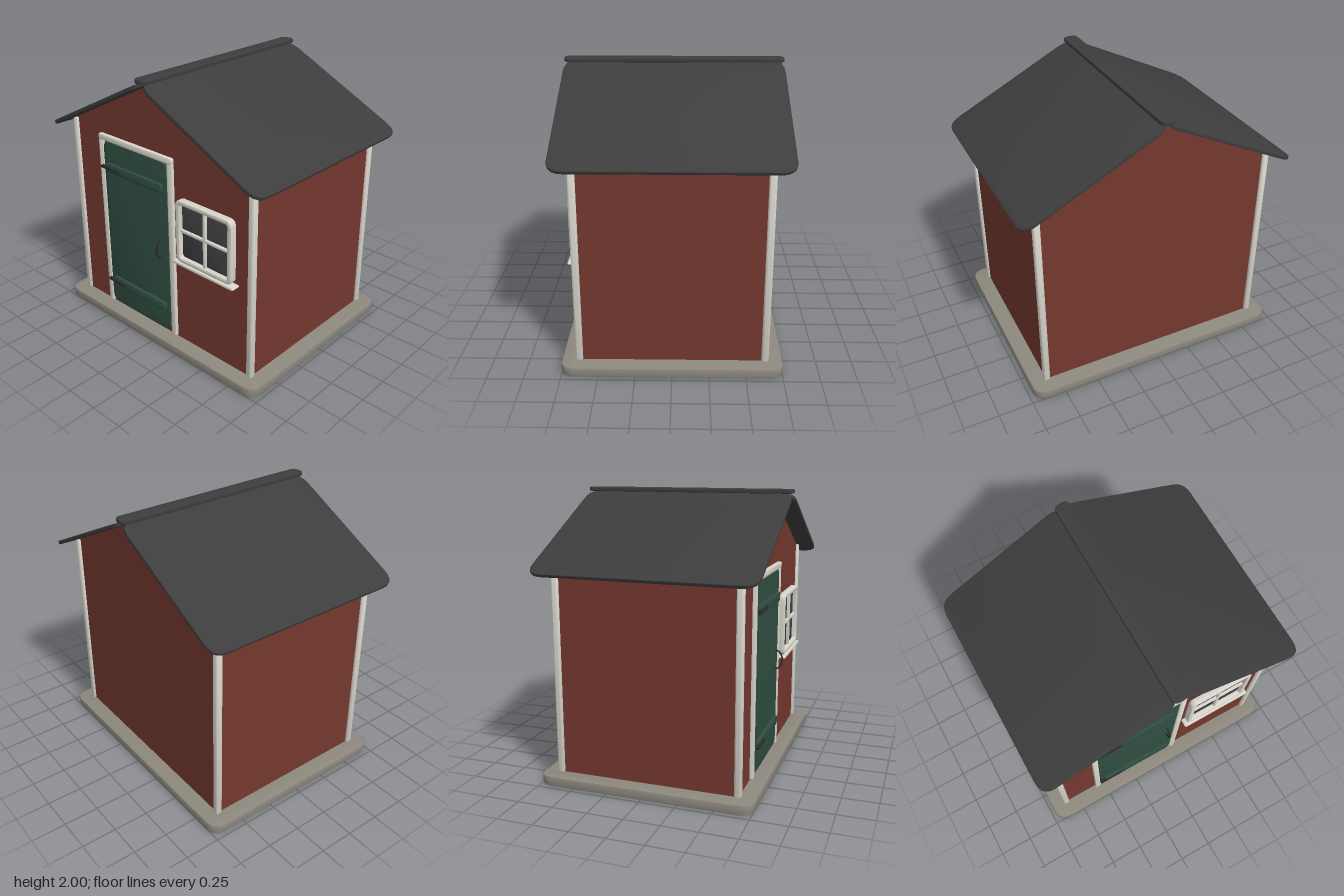
import * as THREE from 'three';
import { toCreasedNormals } from 'three/addons/utils/BufferGeometryUtils.js';

const mat = (name, color) => {
  const m = new THREE.MeshStandardMaterial({ color });
  m.name = name;
  return m;
};

// Rounded rectangle outline, centred on the origin
function roundRect(target, w, h, r) {
  const x = w / 2, y = h / 2;
  target.moveTo(-x + r, -y);
  target.lineTo(x - r, -y);
  target.quadraticCurveTo(x, -y, x, -y + r);
  target.lineTo(x, y - r);
  target.quadraticCurveTo(x, y, x - r, y);
  target.lineTo(-x + r, y);
  target.quadraticCurveTo(-x, y, -x, y - r);
  target.lineTo(-x, -y + r);
  target.quadraticCurveTo(-x, -y, -x + r, -y);
  return target;
}

// Board with rounded corners and softened edges; depth runs along z
function board(w, h, d, r, hole) {
  const b = Math.min(0.008, d * 0.3);
  const shape = roundRect(new THREE.Shape(), w - 2 * b, h - 2 * b, r);
  if (hole) shape.holes.push(roundRect(new THREE.Path(), hole[0] + 2 * b, hole[1] + 2 * b, hole[2]));
  const g = new THREE.ExtrudeGeometry(shape, {
    depth: d - 2 * b, bevelEnabled: true, bevelSize: b, bevelThickness: b, bevelSegments: 2, curveSegments: 5,
  });
  g.translate(0, 0, -d / 2 + b);
  return toCreasedNormals(g, 0.6);
}

export function createModel() {
  const model = new THREE.Group();
  model.name = 'gardenShed';

  const red = mat('barn red', 0x74382f);
  const white = mat('off-white trim', 0xd8d6cc);
  const green = mat('door green', 0x2f4d40);
  const roofing = mat('roofing felt', 0x3d3d3d);
  const stone = mat('stone grey', 0x8c887d);
  const iron = mat('dark iron', 0x2a2a2a);
  const glass = mat('dark glass', 0x404042);

  const add = (name, geometry, material, x = 0, y = 0, z = 0, parent = model) => {
    const mesh = new THREE.Mesh(geometry, material);
    mesh.name = name;
    mesh.position.set(x, y, z);
    parent.add(mesh);
    return mesh;
  };
  // Board placed by its x, y and z extents
  const addBoard = (name, material, x0, x1, y0, y1, z0, z1, r, parent) =>
    add(name, board(x1 - x0, y1 - y0, z1 - z0, r), material,
      (x0 + x1) / 2, (y0 + y1) / 2, (z0 + z1) / 2, parent);

  // Foundation slab
  const base = add('foundation', board(1.94, 1.51, 0.07, 0.09), stone, 0, 0.035, 0);
  base.rotation.x = -Math.PI / 2;

  // Walls with gables
  const gable = new THREE.Shape();
  gable.moveTo(-0.855, 0.06);
  gable.lineTo(0.855, 0.06);
  gable.lineTo(0.855, 1.52);
  gable.lineTo(0, 1.947);
  gable.lineTo(-0.855, 1.52);
  const walls = new THREE.ExtrudeGeometry(gable, { depth: 1.28, bevelEnabled: false });
  walls.translate(0, 0, -0.64);
  add('walls', walls, red);

  // Corner posts
  for (const sx of [-1, 1]) for (const sz of [-1, 1]) {
    const post = add('cornerPost', board(0.048, 0.05, 1.45, 0.008), white, sx * 0.85, 0.795, sz * 0.635);
    post.rotation.x = -Math.PI / 2;
  }

  // Roof panels
  const slope = Math.atan(0.5);
  const panel = board(1.108, 1.55, 0.028, 0.1);
  panel.rotateX(-Math.PI / 2);
  for (const s of [-1, 1]) {
    const roof = add('roofPanel', panel, roofing, s * 0.4955, 1.96 - 0.24775, 0);
    roof.rotation.z = -s * slope;
  }

  // Ridge cap
  const cap = add('ridgeCap', board(0.11, 1.55, 0.03, 0.04), roofing, 0, 1.98, 0);
  cap.rotation.x = -Math.PI / 2;

  // Door with casing, battens, straps and handle
  const door = new THREE.Group();
  door.name = 'door';
  model.add(door);
  addBoard('doorLeaf', green, -0.535, 0.115, 0.088, 1.43, 0.62, 0.661, 0.06, door);
  addBoard('doorCasingRight', white, -0.58, -0.537, 0.07, 1.435, 0.62, 0.665, 0.008, door);
  addBoard('doorCasingLeft', white, 0.117, 0.165, 0.07, 1.435, 0.62, 0.665, 0.008, door);
  addBoard('doorLintel', white, -0.58, 0.165, 1.425, 1.47, 0.62, 0.668, 0.008, door);
  for (const y of [0.29, 1.23]) {
    addBoard('doorBatten', green, -0.5, 0.075, y - 0.035, y + 0.035, 0.65, 0.682, 0.015, door);
    addBoard('hingeStrap', iron, -0.545, -0.35, y - 0.011, y + 0.011, 0.665, 0.693, 0.006, door);
  }
  const arc = new THREE.CatmullRomCurve3([
    new THREE.Vector3(0, 0.075, 0), new THREE.Vector3(0, 0.055, 0.035),
    new THREE.Vector3(0, 0, 0.055), new THREE.Vector3(0, -0.055, 0.035),
    new THREE.Vector3(0, -0.075, 0),
  ]);
  add('doorHandle', new THREE.TubeGeometry(arc, 20, 0.006, 8), iron, 0.045, 0.76, 0.66, door);

  // Window with frame, glazing bars and sill
  const win = new THREE.Group();
  win.name = 'window';
  model.add(win);
  addBoard('windowGlass', glass, 0.235, 0.695, 0.765, 1.19, 0.63, 0.655, 0.02, win);
  add('windowFrame', board(0.5, 0.465, 0.058, 0.04, [0.43, 0.4, 0.025]), white, 0.465, 0.978, 0.66, win);
  addBoard('glazingBarUpright', white, 0.454, 0.476, 0.77, 1.185, 0.645, 0.678, 0.004, win);
  addBoard('glazingBarCross', white, 0.24, 0.69, 0.967, 0.989, 0.645, 0.676, 0.004, win);
  addBoard('windowSill', white, 0.19, 0.745, 0.725, 0.746, 0.63, 0.705, 0.005, win);

  return model;
}
